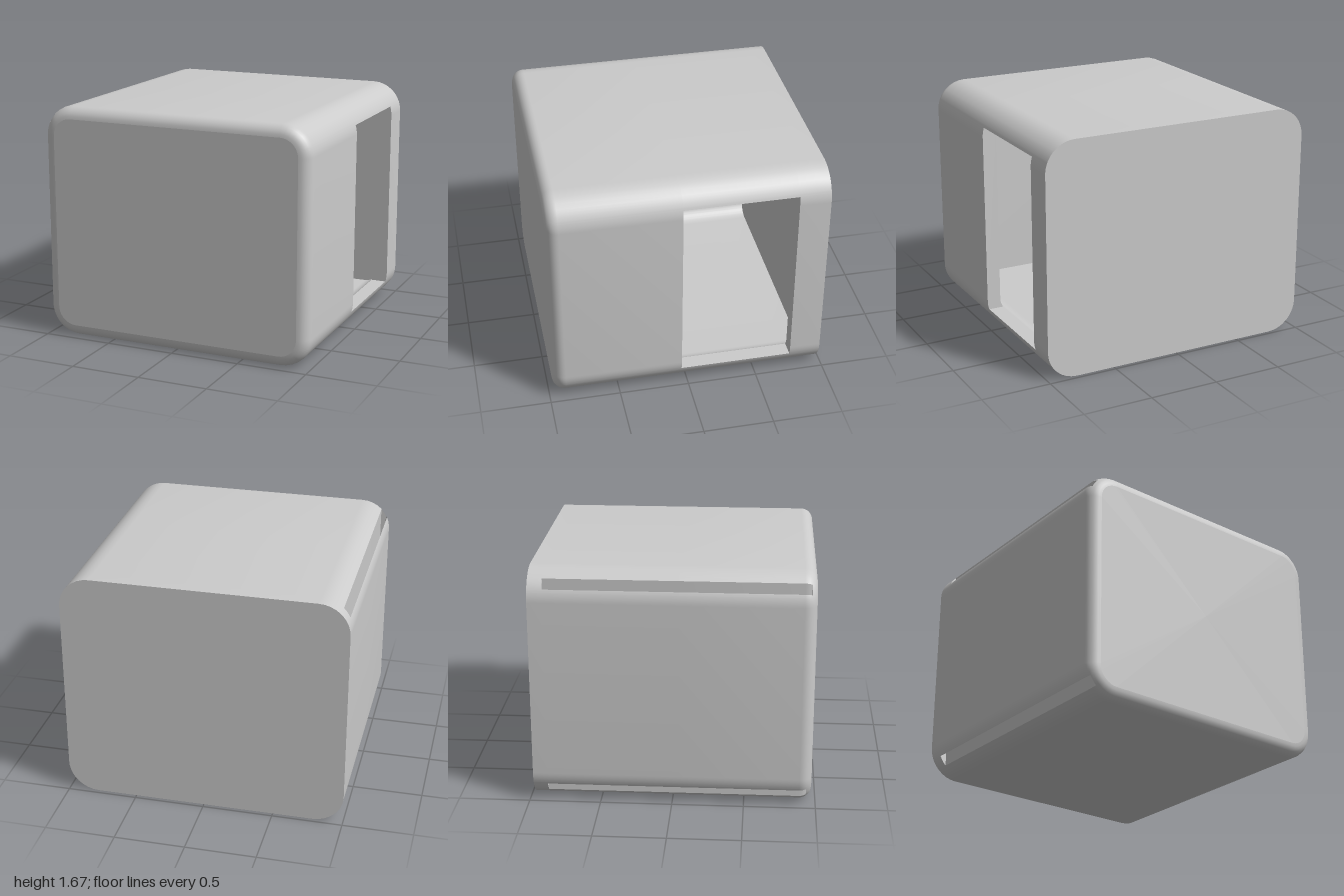
import * as THREE from 'three';
import { toCreasedNormals } from 'three/addons/utils/BufferGeometryUtils.js';

const H = 1.675, DEPTH = 0.97, R = 0.215, FILLET = 0.085, WALL = 0.1;
const DOOR_Y = 0.148, DOOR_Z = [-0.75, 0.05], SLOT_X = [0.98, 0.935];
const SUB = 4, N = 68; // steps per corner span, points per ring
const DOOR_LO = 63, DOOR_HI = 4, SLOT_A = 21, SLOT_B = 25; // ring indices of the openings

// Corner angles from horizontal, with exact stops at the doorway and slot edges
function cornerAngles(stops) {
  const list = [0];
  for (let s = 1; s < stops.length; s++)
    for (let k = 1; k <= SUB; k++) list.push(stops[s - 1] + (stops[s] - stops[s - 1]) * k / SUB);
  return list;
}

const cx = 1 - R, doorAngle = (r) => Math.asin((R - DOOR_Y) / r);
const outerAngles = cornerAngles([0, doorAngle(R), ...SLOT_X.map((x) => Math.acos((x - cx) / R)), Math.PI / 2]);
const innerAngles = cornerAngles([0, doorAngle(R - WALL), 0.9, 1.2, Math.PI / 2]);

// Rounded rectangle at height z, counter-clockwise seen from the front
function ring(angles, r, z) {
  const pts = [];
  [[1, 1], [-1, 1], [-1, -1], [1, -1]].forEach(([sx, sy], c) => {
    const list = c % 2 ? [...angles].reverse() : angles;
    for (const a of list)
      pts.push(new THREE.Vector3(sx * (cx + r * Math.cos(a)), H / 2 + sy * (H / 2 - R + r * Math.sin(a)), z));
  });
  return pts;
}

// Collects quads and turns them into a mesh with creased normals
class Surface {
  constructor() { this.pos = []; }
  tri(a, b, c, flip) { for (const p of flip ? [a, c, b] : [a, b, c]) this.pos.push(p.x, p.y, p.z); }
  quad(a, b, c, d, flip = false) { this.tri(a, b, c, flip); this.tri(a, c, d, flip); }
  skin(rings, skip, flip) {
    for (let k = 0; k + 1 < rings.length; k++)
      for (let i = 0; i < N; i++) {
        const j = (i + 1) % N, p = rings[k], q = rings[k + 1];
        if (!skip(i, (p[0].z + q[0].z) / 2)) this.quad(p[i], p[j], q[j], q[i], flip);
      }
  }
  cap(pts, flip) {
    const mid = new THREE.Vector3(0, H / 2, pts[0].z);
    pts.forEach((p, i) => this.tri(mid, p, pts[(i + 1) % N], flip));
  }
  mesh(name, material) {
    const geo = new THREE.BufferGeometry();
    geo.setAttribute('position', new THREE.Float32BufferAttribute(this.pos, 3));
    const mesh = new THREE.Mesh(toCreasedNormals(geo, 0.6), material);
    mesh.name = name;
    return mesh;
  }
}

export function createModel() {
  const group = new THREE.Group();
  group.name = 'roundedHousing';
  const material = new THREE.MeshStandardMaterial({ color: 0xcccccc });
  const add = (name, build) => {
    const s = new Surface();
    build(s);
    group.add(s.mesh(name, material));
  };

  // Outer rings: straight body, then the filleted front edge
  const straight = [-DEPTH, -0.87, ...DOOR_Z].map((z) => ring(outerAngles, R, z));
  const fillet = [0, 0.2, 0.4, 0.6, 0.84, 1.08, 1.32, Math.PI / 2].map((t) =>
    ring(outerAngles, R - FILLET * (1 - Math.cos(t)), DEPTH - FILLET * (1 - Math.sin(t))));
  const outer = [...straight, ...fillet];
  const slotRings = outer.slice(1, 8);
  const slotEnd = slotRings[slotRings.length - 1][0].z;
  const inner = [-DEPTH + WALL, ...DOOR_Z, DEPTH - WALL].map((z) => ring(innerAngles, R - WALL, z));

  const inDoor = (i, z) => (i >= DOOR_LO || i < DOOR_HI) && z > DOOR_Z[0] && z < DOOR_Z[1];
  const inSlot = (i, z) => z > -0.87 && z < slotEnd &&
    ((i >= SLOT_A && i < SLOT_B) || (i >= 67 - SLOT_B && i < 67 - SLOT_A));

  add('outerShell', (s) => s.skin(outer, (i, z) => inDoor(i, z) || inSlot(i, z), false));
  add('frontPanel', (s) => s.cap(outer[outer.length - 1], false));
  add('backPanel', (s) => s.cap(outer[0], true));

  // Hollow interior
  add('cavity', (s) => s.skin(inner, inDoor, true));
  add('cavityFront', (s) => s.cap(inner[3], true));
  add('cavityBack', (s) => s.cap(inner[0], false));

  // Doorway reveal through the left wall
  add('doorFrame', (s) => {
    const o = [outer[2], outer[3]], n = [inner[1], inner[2]];
    for (let e = 0; e < 2; e++)
      for (let k = DOOR_LO; k < N + DOOR_HI; k++) {
        const i = k % N, j = (k + 1) % N;
        s.quad(o[e][i], o[e][j], n[e][j], n[e][i], e === 1);
      }
    for (const i of [DOOR_HI, DOOR_LO]) s.quad(o[0][i], o[1][i], n[1][i], n[0][i], i === DOOR_LO);
  });

  // Narrow slot running top to bottom inside the right wall
  add('slotLining', (s) => {
    for (let k = 0; k + 1 < slotRings.length; k++)
      for (const i of [SLOT_B, SLOT_A]) {
        const p = slotRings[k], q = slotRings[k + 1];
        s.quad(p[i], q[i], q[67 - i], p[67 - i], i === SLOT_A);
      }
    [slotRings[0], slotRings[slotRings.length - 1]].forEach((p, e) => {
      for (let i = SLOT_A; i < SLOT_B; i++) s.quad(p[i], p[i + 1], p[66 - i], p[67 - i], e === 1);
    });
  });

  return group;
}
